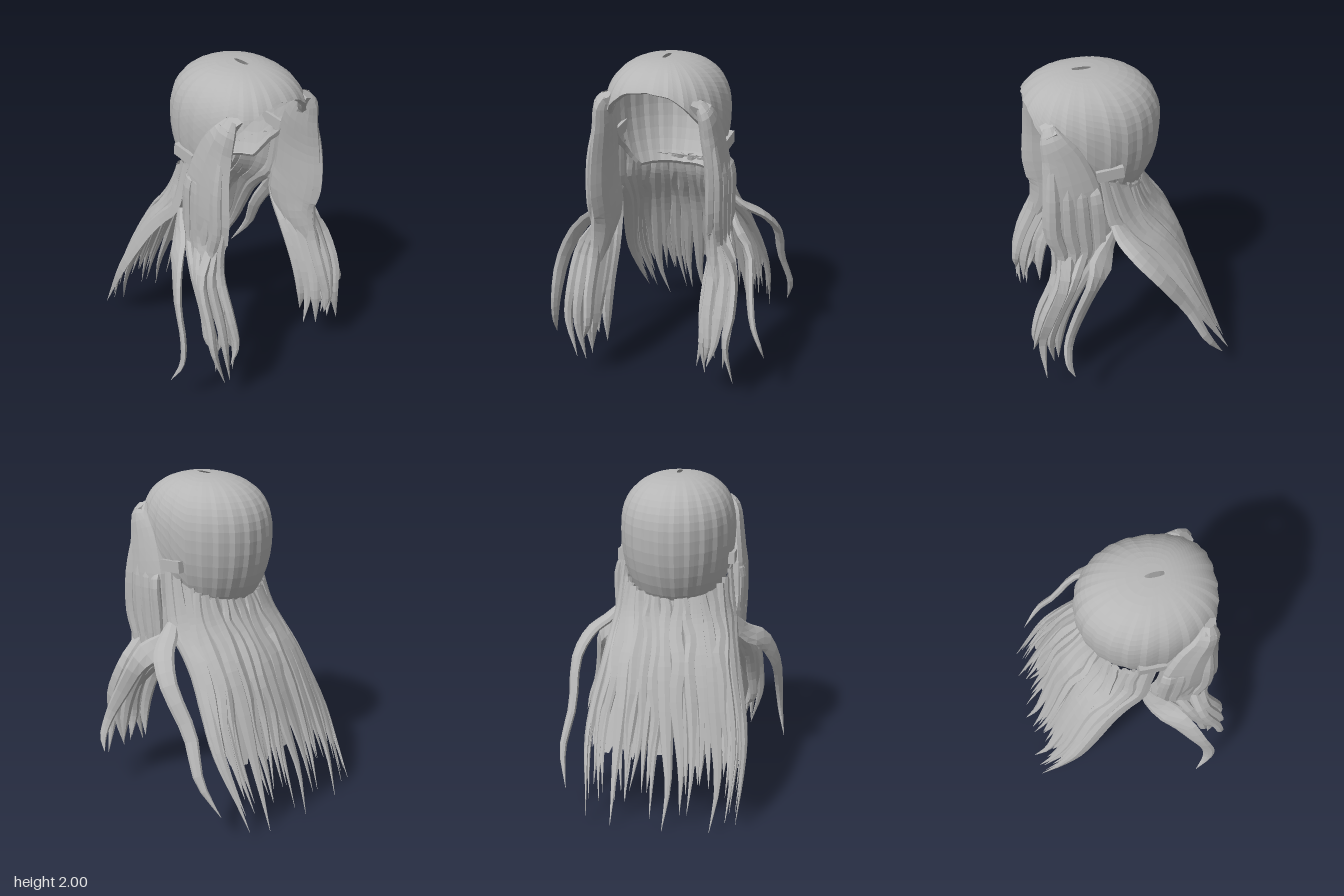
import * as THREE from 'three';

const V = (x, y, z) => new THREE.Vector3(x, y, z);
const hair = new THREE.MeshStandardMaterial({ color: 0xb6b6b6, flatShading: true, side: THREE.DoubleSide });
hair.name = 'hair grey';

let seed = 7;
const rand = (a, b) => {
  seed = (seed * 16807) % 2147483647;
  return a + (b - a) * (seed / 2147483647);
};

// Skin a list of equal-length point rings
function loft(name, rings, closed) {
  const n = rings[0].length, pos = [], idx = [];
  rings.forEach(r => r.forEach(p => pos.push(p.x, p.y, p.z)));
  for (let i = 0; i < rings.length - 1; i++)
    for (let k = 0; k < (closed ? n : n - 1); k++) {
      const a = i * n + k, b = i * n + (k + 1) % n;
      idx.push(a, b, a + n, b, b + n, a + n);
    }
  const g = new THREE.BufferGeometry();
  g.setAttribute('position', new THREE.Float32BufferAttribute(pos, 3));
  g.setIndex(idx);
  g.computeVertexNormals();
  const m = new THREE.Mesh(g, hair);
  m.name = name;
  return m;
}

// Flattened lock; stations are [x, y, z, half width, half thickness]
function lock(name, stations, across, { sides = 8, steps = 16, rough = 0.12 } = {}) {
  const path = new THREE.CatmullRomCurve3(stations.map(s => V(s[0], s[1], s[2])));
  const size = new THREE.CatmullRomCurve3(stations.map(s => V(s[3], s[4], 0)));
  const ridge = Array.from({ length: sides }, () => 1 + rand(-rough, rough));
  const rings = [];
  for (let i = 0; i <= steps; i++) {
    const p = path.getPoint(i / steps), t = path.getTangent(i / steps), s = size.getPoint(i / steps);
    const b = t.clone().cross(across).normalize();
    const a = b.clone().cross(t).normalize();
    rings.push(ridge.map((r, k) => {
      const q = k / sides * Math.PI * 2;
      return p.clone().addScaledVector(a, Math.cos(q) * Math.max(s.x, 0.001) * r)
        .addScaledVector(b, Math.sin(q) * Math.max(s.y, 0.001) * r);
    }));
  }
  return loft(name, rings, true);
}

const mirror = (stations, sx) => stations.map(s => [s[0] * sx, ...s.slice(1)]);
const spow = (v, e) => Math.sign(v) * Math.abs(v) ** e;

// Piecewise linear lookup
function lookup(table, x) {
  const i = Math.max(1, table.findIndex(row => x <= row[0]));
  const [x0, y0] = table[i - 1], [x1, y1] = table[i];
  return y0 + (y1 - y0) * (x - x0) / (x1 - x0);
}

// Ribbed crown: meridians run from the parting down to the hairline
function crown() {
  const hairline = [[0, 1.87], [0.12, 1.85], [0.2, 1.79], [0.28, 1.7], [0.4, 1.56], [0.5, 1.4], [0.6, 1.27], [1, 1.25]];
  const N = 72, M = 18, rings = [];
  for (let i = 0; i <= M + 2; i++) {
    const ring = [];
    for (let k = 0; k < N; k++) {
      const phi = k / N * Math.PI * 2;
      const yb = lookup(hairline, Math.min(k, N - k) / (N / 2));
      const end = yb > 1.66
        ? Math.acos(((yb - 1.66) / 0.34) ** (1 / 0.8))
        : Math.PI - Math.acos((1.66 - yb) / 0.58);
      const th = 0.02 + (end - 0.02) * Math.min(i, M) / M;
      const low = th > Math.PI / 2;
      const y = low ? 1.66 + 0.58 * Math.cos(th) : 1.66 + 0.34 * Math.cos(th) ** 0.8;
      const r = low ? Math.sin(th) : Math.sin(th) ** 0.8;
      const rib = 1 + 0.02 * r * ((k % 3) / 2 - 0.5);
      const c = Math.cos(phi), front = c > 0, e = front ? 0.85 : 1;
      const slit = i === 0 ? 0.04 * c : 0;
      const p = V(-0.35 * spow(Math.sin(phi), e) * r * rib, y,
        0.205 - 0.055 * r + (front ? 0.44 : 0.4) * spow(c, e) * r * rib + slit);
      // Turned-in rim
      if (i > M) {
        const inset = (i - M) * 0.035;
        p.x *= 1 - inset * 1.6;
        p.z += (0.15 - p.z) * inset * 1.8;
        p.y += i === M + 1 ? -0.012 : 0.01;
      }
      ring.push(p);
    }
    rings.push(ring);
  }
  return loft('crown', rings, true);
}

// Back curtain surface: u runs side to side, s runs from nape to tips
const centreLine = new THREE.CatmullRomCurve3([V(0, 1.29, -0.13), V(0, 1.16, -0.18), V(0, 0.92, -0.33), V(0, 0.5, -0.49), V(0, 0.0, -0.67)]);
const sideLine = new THREE.CatmullRomCurve3([V(0.34, 1.46, 0.16), V(0.37, 1.13, 0.08), V(0.41, 0.9, -0.14), V(0.49, 0.5, -0.38), V(0.46, 0.07, -0.64)]);
function curtain(u, s) {
  const c = centreLine.getPoint(s), e = sideLine.getPoint(s), w = Math.abs(u) ** 2.3;
  return V(e.x * Math.sin(u * 1.45), c.y + (e.y - c.y) * w, c.z + (e.z - c.z) * w);
}

function backHair() {
  const g = new THREE.Group();
  g.name = 'backHair';
  // Backing sheet with an uneven hem
  const hem = Array.from({ length: 33 }, () => rand(0.66, 0.84));
  const rows = [];
  for (let i = 0; i <= 14; i++)
    rows.push(hem.map((h, k) => curtain(1 - k / 16, i / 14 * h)));
  g.add(loft('backSheet', rows, false));
  // Overlapping locks that separate into ragged tips
  const n = 17;
  for (let i = 0; i < n; i++) {
    const u0 = -0.95 + 1.9 * i / (n - 1), end = i % 4 === 0 ? 1 : rand(0.85, 0.98);
    const drift = rand(0.06, 0.16), flick = rand(-0.07, 0.09), st = [];
    for (let j = 0; j <= 8; j++) {
      const s = end * j / 8;
      const u = u0 + drift * (0.5 - s) + rand(-0.025, 0.025) + (j === 8 ? flick : 0);
      const p = curtain(THREE.MathUtils.clamp(u, -1, 1), s);
      const w = [0.03, 0.036, 0.044, 0.048, 0.05, 0.048, 0.036, 0.018, 0.001][j];
      st.push([p.x, p.y, p.z, w, w * 0.55]);
    }
    const across = curtain(Math.min(u0 + 0.1, 1), 0.5).sub(curtain(Math.max(u0 - 0.1, -1), 0.5)).normalize();
    g.add(lock('backLock', st, across, { steps: 20, rough: 0.25 }));
    // Split end beside each lock
    const side = rand(-0.05, 0.05), last = rand(0.84, 0.97);
    const tip = [0.55, 0.67, 0.78, last].map((s, j) => {
      const p = curtain(THREE.MathUtils.clamp(u0 + side * (1 + j * 0.5), -1, 1), s);
      return [p.x, p.y, p.z, [0.02, 0.027, 0.018, 0.001][j], [0.016, 0.018, 0.012, 0.001][j]];
    });
    g.add(lock('splitEnd', tip, across, { sides: 6, steps: 8 }));
  }
  return g;
}

// Hair falling in front of each shoulder
function frontHair(sx) {
  const g = new THREE.Group();
  g.name = sx > 0 ? 'leftFrontHair' : 'rightFrontHair';
  g.add(lock('sideLock', mirror([
    [0.27, 1.81, 0.44, 0.035, 0.03], [0.305, 1.75, 0.43, 0.075, 0.05], [0.325, 1.62, 0.38, 0.125, 0.06],
    [0.35, 1.42, 0.34, 0.17, 0.06], [0.355, 1.22, 0.33, 0.19, 0.06], [0.35, 1.06, 0.3, 0.2, 0.055],
    [0.36, 0.92, 0.34, 0.145, 0.06], [0.39, 0.76, 0.42, 0.095, 0.055], [0.4, 0.6, 0.49, 0.05, 0.03]
  ], sx), V(0, 0, 1), { sides: 16, steps: 24, rough: 0.1 }));
  // Squared upper end beside the forehead
  const flap = new THREE.Mesh(new THREE.BoxGeometry(0.1, 0.06, 0.07), hair);
  flap.name = 'templeFlap';
  flap.position.set(0.275 * sx, 1.78, 0.44);
  flap.rotation.set(0.4, 0, -0.4 * sx);
  g.add(flap);
  // Raised strands over the side lock
  for (let i = 0; i < 4; i++) {
    const f = i / 3;
    g.add(lock('sideStrand', mirror([
      [0.33, 1.72 - 0.26 * (1 - f), 0.24 + 0.2 * f, 0.015, 0.01], [0.385, 1.4, 0.22 + 0.23 * f, 0.04, 0.025],
      [0.39, 1.15, 0.2 + 0.25 * f, 0.045, 0.025], [0.385, 0.97, 0.21 + 0.2 * f, 0.035, 0.025], [0.4, 0.8, 0.36 + 0.1 * f, 0.015, 0.01]
    ], sx), V(0, 0, 1), { rough: 0.2 }));
  }
  // Separate tapering locks
  for (let i = 0; i < 10; i++) {
    const f = i / 9, z0 = 0.13 + 0.32 * f, xm = 0.31 + 0.19 * ((i * 7) % 10) / 9;
    const xt = xm + rand(-0.06, 0.04), yt = rand(0.15, 0.36), zt = 0.46 + 0.17 * f + rand(-0.03, 0.03);
    g.add(lock('frontLock', mirror([
      [0.35, 1.18, z0 + 0.03, 0.02, 0.02], [0.36, 1.02, z0, 0.04, 0.025], [xm * 0.8 + 0.07, 0.84, 0.29 + 0.17 * f, 0.042, 0.028],
      [xm, 0.6, 0.42 + 0.14 * f, 0.04, 0.028], [xm + rand(-0.02, 0.02), 0.42, 0.46 + 0.15 * f, 0.03, 0.02], [xt, yt, zt, 0.001, 0.001]
    ], sx), V(0.5 * sx, 0, 0.85), { rough: 0.2 }));
  }
  // Small tuft over the ear
  const tuft = new THREE.Mesh(new THREE.BoxGeometry(0.04, 0.07, 0.16), hair);
  tuft.name = 'earTuft';
  tuft.position.set(0.34 * sx, 1.5, 0.12);
  tuft.rotation.x = 0.1;
  g.add(tuft);
  return g;
}

export function createModel() {
  const model = new THREE.Group();
  model.name = 'longHair';
  model.add(crown(), backHair(), frontHair(1), frontHair(-1));
  // Loose curling strands
  model.add(lock('rightLooseStrand', [
    [-0.35, 1.12, 0.08, 0.03, 0.02], [-0.42, 1.01, 0.15, 0.065, 0.025], [-0.54, 0.91, 0.28, 0.07, 0.022],
    [-0.62, 0.73, 0.38, 0.055, 0.02], [-0.645, 0.5, 0.46, 0.04, 0.018], [-0.66, 0.34, 0.46, 0.025, 0.012], [-0.69, 0.19, 0.39, 0.001, 0.001]
  ], V(-0.4, 0, 0.9)));
  model.add(lock('leftLooseStrand', [
    [0.35, 1.1, 0.1, 0.03, 0.02], [0.42, 1.0, 0.17, 0.06, 0.025], [0.52, 0.88, 0.25, 0.06, 0.025],
    [0.565, 0.68, 0.36, 0.05, 0.02], [0.61, 0.5, 0.44, 0.035, 0.018], [0.66, 0.37, 0.45, 0.025, 0.012], [0.68, 0.28, 0.42, 0.001, 0.001]
  ], V(0.5, 0, 0.85)));
  model.add(lock('leftRearStrand', [
    [0.36, 1.16, 0.1, 0.03, 0.02], [0.43, 1.09, 0.06, 0.06, 0.025], [0.53, 1.02, -0.01, 0.065, 0.025],
    [0.6, 0.88, -0.13, 0.055, 0.025], [0.595, 0.62, -0.3, 0.045, 0.022], [0.635, 0.38, -0.42, 0.03, 0.02], [0.59, 0.18, -0.55, 0.001, 0.001]
  ], V(0.6, 0, 0.8)));
  return model;
}
